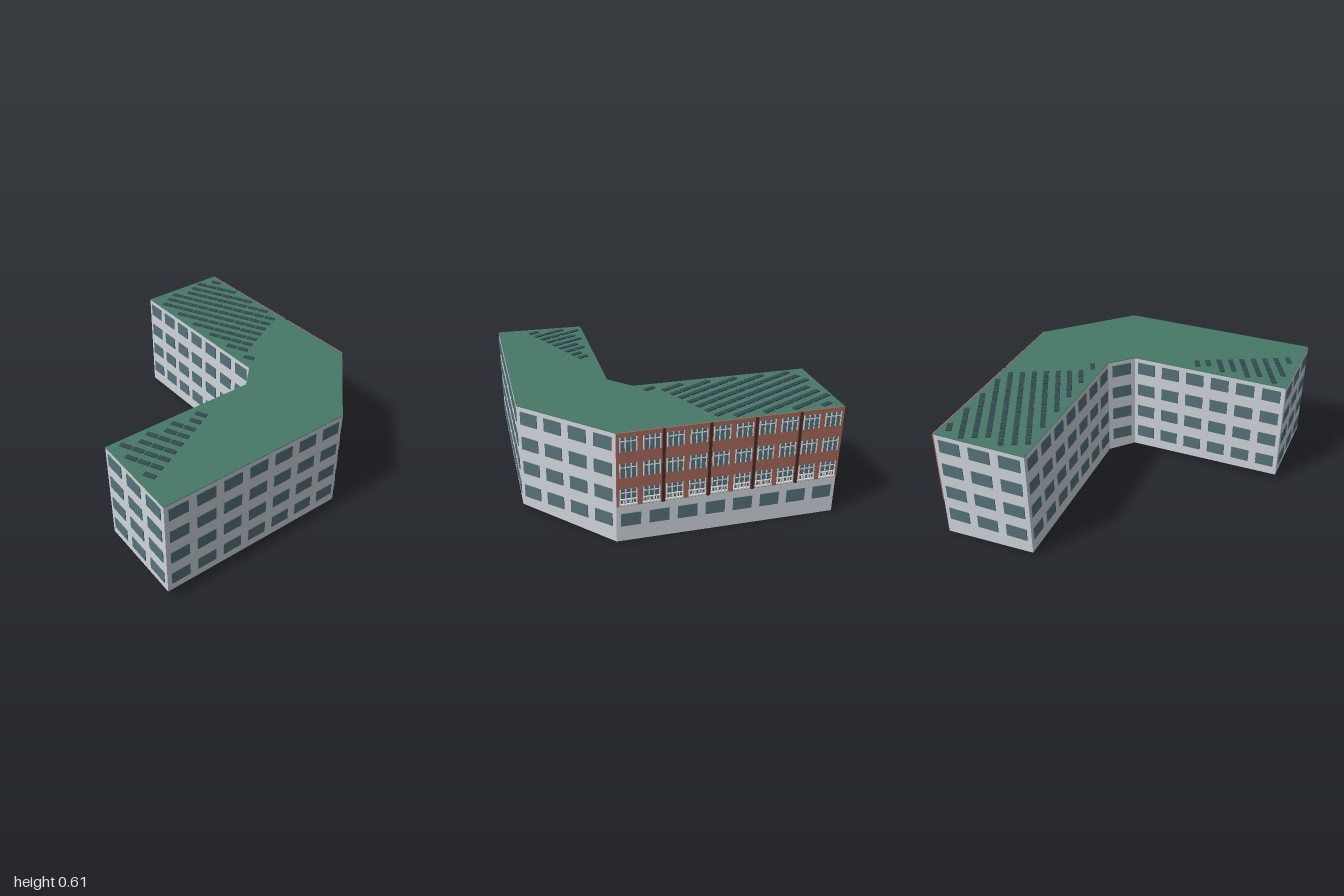
import * as THREE from 'three';

const mat = (name, color) => {
  const m = new THREE.MeshStandardMaterial({ color });
  m.name = name;
  return m;
};

export function createModel() {
  const wall = mat('pale wall', 0xd0d5da);
  const glass = mat('window glass', 0x55727a);
  const green = mat('green roof', 0x467868);
  const panelMat = mat('dark panel', 0x344a50);
  const brick = mat('red brick', 0xa8695a);
  const white = mat('white frame', 0xe0e4e6);
  const dark = mat('dark pilaster', 0x4a2a26);

  const ROOF = 0.602;
  const model = new THREE.Group();
  model.name = 'building';

  // Footprint corners: x, z, height of the sloping underside, windows on the wall to the next corner
  const corners = [
    [-0.51, -0.99, 0.0, 8], [0.53, -0.5, 0.006, 4], [0.72, 0.04, 0.037, 7], [0.245, 1.0, 0.05, 3],
    [-0.2, 0.77, 0.042, 6], [0.18, 0.01, 0.03, 1], [0.13, -0.14, 0.026, 7], [-0.725, -0.55, 0.02, 3],
  ];
  const shape = new THREE.Shape(corners.map(([x, z]) => new THREE.Vector2(x, -z)));
  const prism = (depth) =>
    new THREE.ExtrudeGeometry(shape, { depth, bevelEnabled: false }).rotateX(-Math.PI / 2);

  // Body, with its lower corners lifted to the ground slope
  const bodyGeo = prism(ROOF - 0.003);
  const pos = bodyGeo.attributes.position;
  for (let i = 0; i < pos.count; i++) {
    if (pos.getY(i) > 0.1) continue;
    const c = corners.find(([x, z]) => Math.hypot(x - pos.getX(i), z - pos.getZ(i)) < 0.001);
    pos.setY(i, c[2]);
  }
  bodyGeo.computeVertexNormals();
  const body = new THREE.Mesh(bodyGeo, wall);
  body.name = 'walls';
  const roof = new THREE.Mesh(prism(0.003), green);
  roof.name = 'roof';
  roof.position.y = ROOF - 0.003;
  model.add(body, roof);

  const addBox = (parent, name, material, w, h, d, x, y, z) => {
    const m = new THREE.Mesh(new THREE.BoxGeometry(w, h, d), material);
    m.name = name;
    m.position.set(x, y, z);
    parent.add(m);
  };

  const floors = [0.127, 0.265, 0.403, 0.541];

  // Facades: local x runs along the wall, local z points outward
  corners.forEach(([px, pz, , count], i) => {
    const [qx, qz] = corners[(i + 1) % corners.length];
    const len = Math.hypot(px - qx, pz - qz);
    const facade = new THREE.Group();
    facade.name = i === 0 ? 'brickFacade' : 'facade' + i;
    facade.position.set((px + qx) / 2, 0, (pz + qz) / 2);
    facade.rotation.y = Math.atan2(-(pz - qz), px - qx);
    model.add(facade);

    const pitch = len / count;
    const rows = i === 0 ? floors.slice(0, 1) : floors;
    for (const y of rows)
      for (let k = 0; k < count; k++)
        addBox(facade, 'window', glass, pitch * 0.7, 0.07, 0.008, (k + 0.5) * pitch - len / 2, y, 0);
    if (i === 0) addBrickwork(facade, len);
  });

  // Brick upper storeys with pilasters, framed windows and balustrades
  function addBrickwork(facade, len) {
    const base = 0.207;
    const h = ROOF - base;
    addBox(facade, 'brickCladding', brick, len, h, 0.008, 0, base + h / 2, 0.002);
    const bay = len / 5;
    for (let k = 1; k < 5; k++)
      addBox(facade, 'pilaster', dark, 0.014, h, 0.014, k * bay - len / 2, base + h / 2, 0.006);

    const pitch = len / 10;
    const w = 0.08;
    for (let k = 0; k < 10; k++) {
      const x = (k + 0.5) * pitch - len / 2;
      floors.slice(1).forEach((y, row) => {
        addBox(facade, 'brickWindow', glass, w, 0.075, 0.006, x, y, 0.005);
        for (let b = 0; b < 4; b++)
          addBox(facade, 'mullion', white, 0.006, 0.075, 0.008, x + (b / 3 - 0.5) * w, y, 0.006);
        addBox(facade, 'transom', white, w, 0.005, 0.008, x, y + 0.018, 0.006);
        if (row === 0) {
          addBox(facade, 'balconySill', white, w + 0.008, 0.008, 0.016, x, y - 0.046, 0.008);
          addBox(facade, 'balustradeRail', white, w + 0.004, 0.005, 0.006, x, y - 0.016, 0.012);
          for (let b = 0; b < 6; b++)
            addBox(facade, 'baluster', white, 0.004, 0.028, 0.005, x + (b / 5 - 0.5) * w, y - 0.03, 0.012);
        }
      });
    }
  }

  // Roof panels on a regular grid: z of the row, first and last column
  const panelRows = [
    [-0.92, 2, 2], [-0.855, 1, 4], [-0.79, 1, 6], [-0.727, 1, 8], [-0.664, 0, 9], [-0.6, 0, 9],
    [-0.537, 0, 9], [-0.474, 2, 9], [-0.41, 4, 9], [-0.35, 6, 9], [-0.288, 8, 9], [-0.225, 10, 10],
    [0.347, 10, 10], [0.407, 10, 10], [0.47, 9, 10], [0.533, 9, 10], [0.595, 8, 10], [0.66, 8, 10],
    [0.722, 7, 10], [0.785, 8, 10], [0.85, 10, 10],
  ];
  const panels = new THREE.Group();
  panels.name = 'roofPanels';
  model.add(panels);
  for (const [z, first, last] of panelRows)
    for (let c = first; c <= last; c++)
      addBox(panels, 'roofPanel', panelMat, 0.059, 0.006, 0.026, -0.595 + c * 0.0685, ROOF + 0.002, z);

  return model;
}
